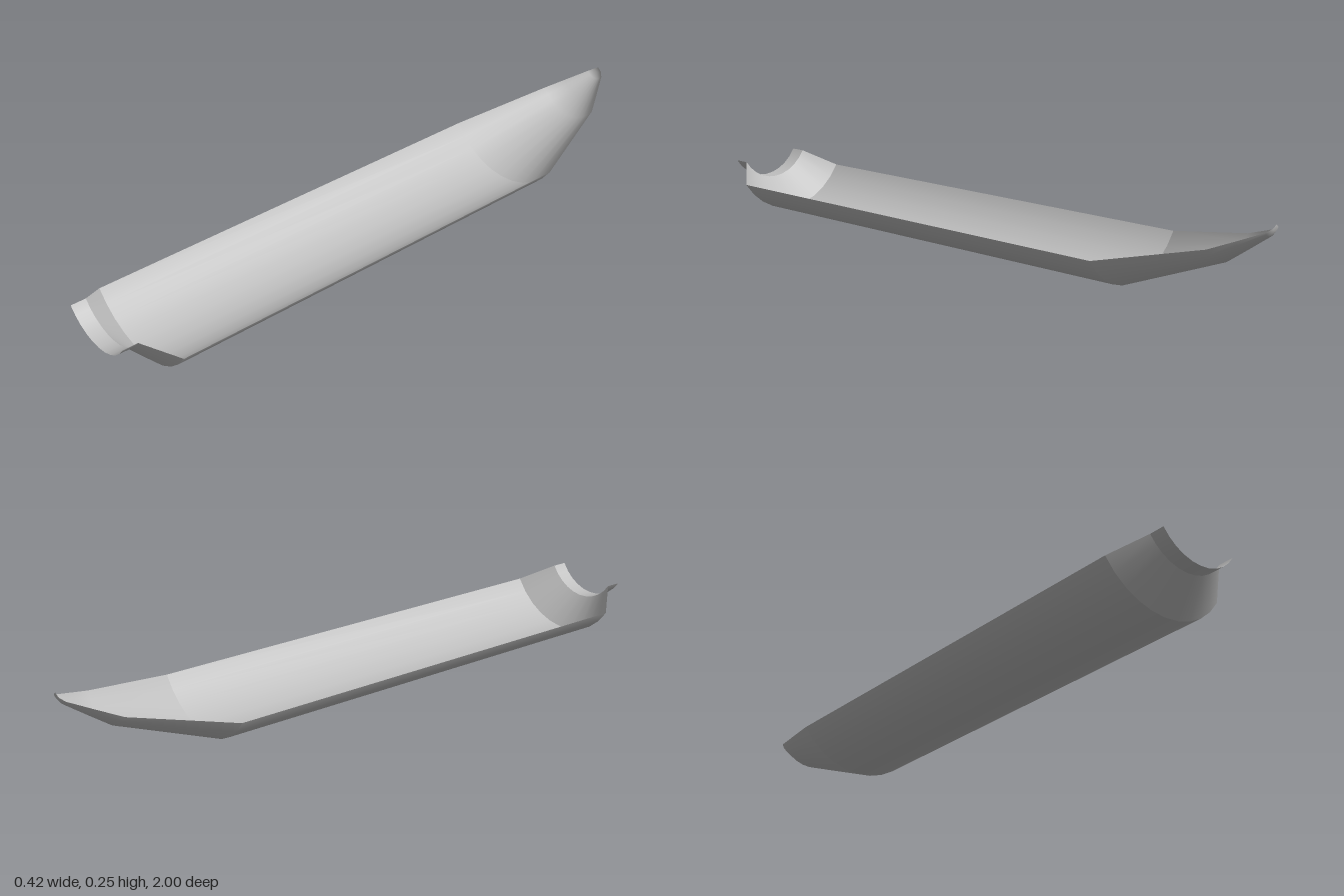
import * as THREE from 'three';

// Open trough: a sector of a body of revolution whose axis runs along z.
const AXIS_Y = 0.25;
const HALF_ANGLE = THREE.MathUtils.degToRad(56.6);
const SEGMENTS = 10;

// Each section is its own lathe, so edges between sections stay sharp.
// Profiles are [radius, z] pairs from back to front.
const sections = {
  pointedNose: [[0, -1], [0.018, -0.998], [0.036, -0.985], [0.085, -0.918], [0.13, -0.855], [0.25, -0.55]],
  mainTrough: [[0.25, -0.55], [0.25, 0.865]],
  taperedShoulder: [[0.25, 0.865], [0.155, 0.952]],
  neckRim: [[0.155, 0.952], [0.155, 1]],
};

export function createModel() {
  const model = new THREE.Group();
  model.name = 'trough';

  const grey = new THREE.MeshStandardMaterial({ color: 0xc0c0c0, side: THREE.DoubleSide });
  grey.name = 'light grey';

  for (const [name, profile] of Object.entries(sections)) {
    const points = profile.map(([r, z]) => new THREE.Vector2(r, z));
    const geometry = new THREE.LatheGeometry(points, SEGMENTS, -HALF_ANGLE, 2 * HALF_ANGLE);
    geometry.rotateX(Math.PI / 2);
    geometry.translate(0, AXIS_Y, 0);
    const mesh = new THREE.Mesh(geometry, grey);
    mesh.name = name;
    model.add(mesh);
  }
  return model;
}
